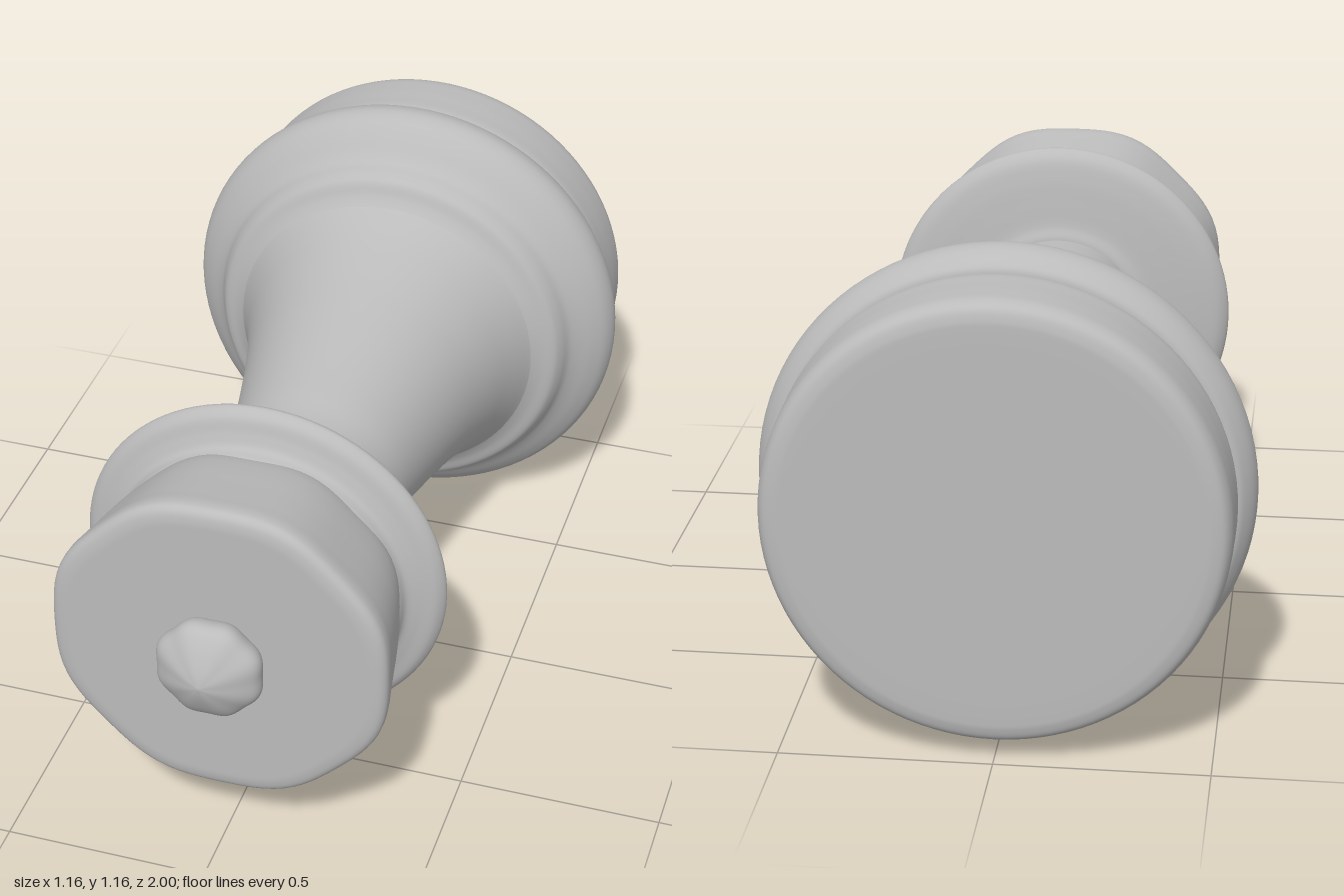
import * as THREE from 'three';
import { mergeVertices } from 'three/addons/utils/BufferGeometryUtils.js';

const AXIS_HEIGHT = 0.58;

// Turned part along z from [z, radius] points; facet > 0 gives a soft octagonal outline
function turned(name, points, material, facet = 0, divisions = 70) {
  const curve = new THREE.CatmullRomCurve3(
    points.map(([z, r]) => new THREE.Vector3(r, z, 0)), false, 'centripetal');
  const profile = curve.getPoints(divisions).map(p => new THREE.Vector2(Math.max(p.x, 0), p.y));
  let geometry = new THREE.LatheGeometry(profile, 96);
  geometry.deleteAttribute('uv');
  geometry.deleteAttribute('normal');
  const pos = geometry.attributes.position;
  for (let i = 0; i < pos.count; i++) {
    const x = pos.getX(i), z = pos.getZ(i);
    const s = (1 - facet * Math.cos(8 * Math.atan2(z, x))) / (1 - facet);
    pos.setX(i, x * s);
    pos.setZ(i, z * s);
  }
  geometry = mergeVertices(geometry, 1e-5);
  geometry.computeVertexNormals();
  geometry.rotateX(Math.PI / 2);
  const mesh = new THREE.Mesh(geometry, material);
  mesh.name = name;
  mesh.position.y = AXIS_HEIGHT;
  return mesh;
}

export function createModel() {
  const grey = new THREE.MeshStandardMaterial({ color: 0xbbbbbb });
  grey.name = 'plain grey';
  const group = new THREE.Group();
  group.name = 'chessPiece';

  // Foot: wide disc with rounded edges
  group.add(turned('foot', [
    [-1, 0], [-1, 0.25], [-1, 0.47], [-0.998, 0.495], [-0.988, 0.52], [-0.965, 0.533],
    [-0.92, 0.537], [-0.86, 0.538], [-0.81, 0.538], [-0.795, 0.533], [-0.785, 0.515], [-0.78, 0.45],
  ], grey));

  // Skirt: bulging moulding above the foot
  group.add(turned('skirt', [
    [-0.79, 0.5], [-0.787, 0.54], [-0.77, 0.558], [-0.74, 0.575], [-0.705, 0.58], [-0.67, 0.568],
    [-0.64, 0.54], [-0.61, 0.503], [-0.59, 0.485], [-0.56, 0.472], [-0.54, 0.458],
    [-0.525, 0.425], [-0.51, 0.402], [-0.49, 0.38],
  ], grey));

  // Stem: flared column
  group.add(turned('stem', [
    [-0.53, 0.415], [-0.5, 0.395], [-0.45, 0.37], [-0.4, 0.35], [-0.3, 0.318], [-0.2, 0.293],
    [-0.1, 0.271], [0, 0.251], [0.1, 0.233], [0.18, 0.219], [0.24, 0.216], [0.35, 0.216], [0.46, 0.216],
  ], grey));

  // Collar: thin ring under the head
  group.add(turned('collar', [
    [0.435, 0.2], [0.437, 0.222], [0.447, 0.25], [0.455, 0.31], [0.465, 0.38], [0.48, 0.43],
    [0.505, 0.451], [0.53, 0.435], [0.545, 0.395], [0.56, 0.367], [0.59, 0.355], [0.61, 0.33],
  ], grey));

  // Head: flared drum with a slightly eight-sided outline
  group.add(turned('head', [
    [0.56, 0.34], [0.575, 0.352], [0.6, 0.362], [0.65, 0.374], [0.72, 0.387], [0.79, 0.4],
    [0.835, 0.408], [0.855, 0.406], [0.866, 0.396], [0.872, 0.375], [0.873, 0.34], [0.873, 0.2], [0.873, 0],
  ], grey, 0.012));

  // Knob: small faceted finial
  group.add(turned('knob', [
    [0.86, 0.09], [0.875, 0.107], [0.895, 0.121], [0.92, 0.126], [0.94, 0.119], [0.96, 0.096],
    [0.98, 0.06], [0.993, 0.028], [1, 0],
  ], grey, 0.025, 36));

  return group;
}
